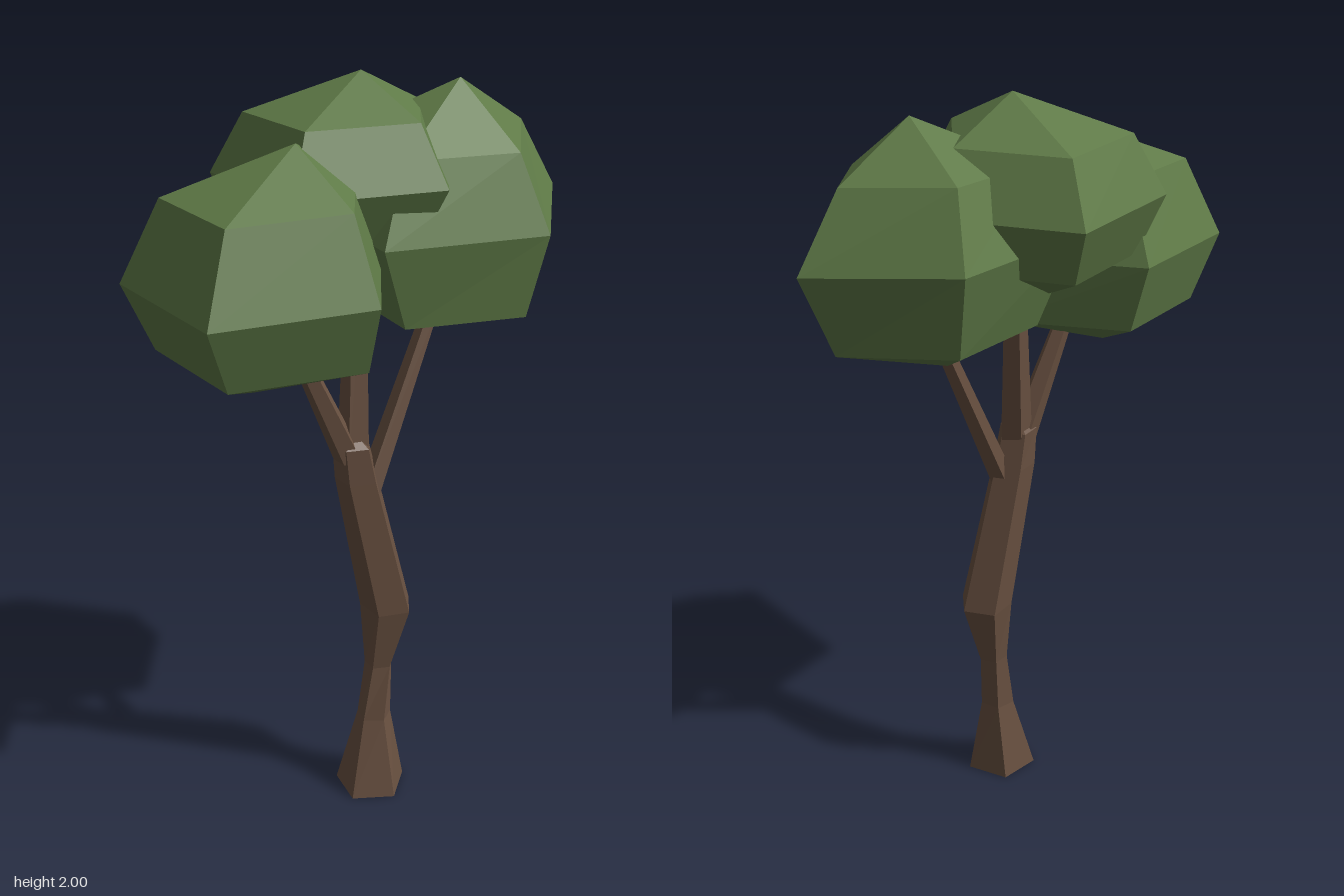
import * as THREE from 'three';

const SIDES = 5;
const leafMaterial = new THREE.MeshStandardMaterial({ color: 0x5f7a47, flatShading: true, roughness: 1 });
const barkMaterial = new THREE.MeshStandardMaterial({ color: 0x685040, flatShading: true, roughness: 1 });

// Faceted skin over five-sided rings listed from bottom to top.
// Ring: [x, y, z, rx, rz, turn]; a radius of 0 closes the shape to a point.
// slopeX and slopeZ tip every ring slightly.
function loft(rings, slopeX = 0, slopeZ = 0) {
  const positions = [];
  const point = ([x, y, z, rx, rz = rx, turn = 0], i) => {
    const a = (i / SIDES) * Math.PI * 2 + turn;
    const dx = Math.cos(a) * rx, dz = Math.sin(a) * rz;
    return [x + dx, y + dx * slopeX + dz * slopeZ, z + dz];
  };
  for (let r = 0; r < rings.length - 1; r++) {
    const low = rings[r], high = rings[r + 1];
    for (let i = 0; i < SIDES; i++) {
      const a = point(low, i), b = point(low, i + 1);
      const c = point(high, i), d = point(high, i + 1);
      if (low[3] > 0) positions.push(...a, ...c, ...b);
      if (high[3] > 0) positions.push(...b, ...c, ...d);
    }
  }
  const geometry = new THREE.BufferGeometry();
  geometry.setAttribute('position', new THREE.Float32BufferAttribute(positions, 3));
  geometry.computeVertexNormals();
  return geometry;
}

export function createModel() {
  const tree = new THREE.Group();
  tree.name = 'tree';
  const add = (name, geometry, material) => {
    const mesh = new THREE.Mesh(geometry, material);
    mesh.name = name;
    tree.add(mesh);
  };

  // Crooked trunk: flared foot, narrow waist, knee, then the fork
  add('trunk', loft([
    [-0.03, 0, 0.09, 0, 0],
    [-0.03, 0, 0.09, 0.1, 0.1, 0.2],
    [-0.012, 0.22, 0.08, 0.048, 0.048, 0.3],
    [0.008, 0.38, 0.075, 0.04, 0.04, 0.1],
    [0.032, 0.56, 0.078, 0.073, 0.076, 0],
    [-0.06, 0.97, 0.07, 0.06, 0.06, 0],
    [-0.077, 1.07, 0.07, 0.05, 0.055, 0],
    [-0.077, 1.11, 0.07, 0, 0],
  ]), barkMaterial);

  // Branches: start and end centres with their radii
  const branches = [
    ['rightBranch', [-0.085, 1.03, 0.07, 0.042], [-0.26, 1.42, 0.06, 0.022]],
    ['middleBranch', [-0.07, 1.02, 0.07, 0.046], [-0.025, 1.62, 0.02, 0.026]],
    ['leftBranch', [-0.03, 0.93, 0.08, 0.036], [0.21, 1.44, 0.05, 0.022]],
  ];
  for (const [name, start, end] of branches) {
    add(name, loft([[...start.slice(0, 3), 0], start, end, [...end.slice(0, 3), 0]]), barkMaterial);
  }

  // Leaf crowns: bottom point, three rings, top point
  add('rightCrown', loft([
    [-0.35, 1.27, 0.04, 0],
    [-0.3, 1.385, 0.06, 0.29, 0.28, -0.03],
    [-0.325, 1.56, 0.065, 0.345, 0.335, -0.03],
    [-0.31, 1.765, 0.065, 0.255, 0.245, -0.03],
    [-0.24, 1.88, 0.08, 0],
  ], 0.03, -0.02), leafMaterial);

  add('middleCrown', loft([
    [-0.04, 1.49, -0.07, 0],
    [-0.03, 1.6, -0.06, 0.25],
    [-0.02, 1.75, -0.06, 0.325],
    [-0.02, 1.9, -0.06, 0.24],
    [0.02, 2.0, -0.03, 0],
  ], 0, 0.02), leafMaterial);

  add('leftCrown', loft([
    [0.18, 1.325, 0.03, 0],
    [0.222, 1.42, 0.045, 0.276, 0.25],
    [0.225, 1.64, 0.03, 0.375, 0.307],
    [0.22, 1.83, 0.03, 0.26, 0.225],
    [0.27, 1.965, 0.04, 0],
  ], 0.01, -0.08), leafMaterial);

  return tree;
}
